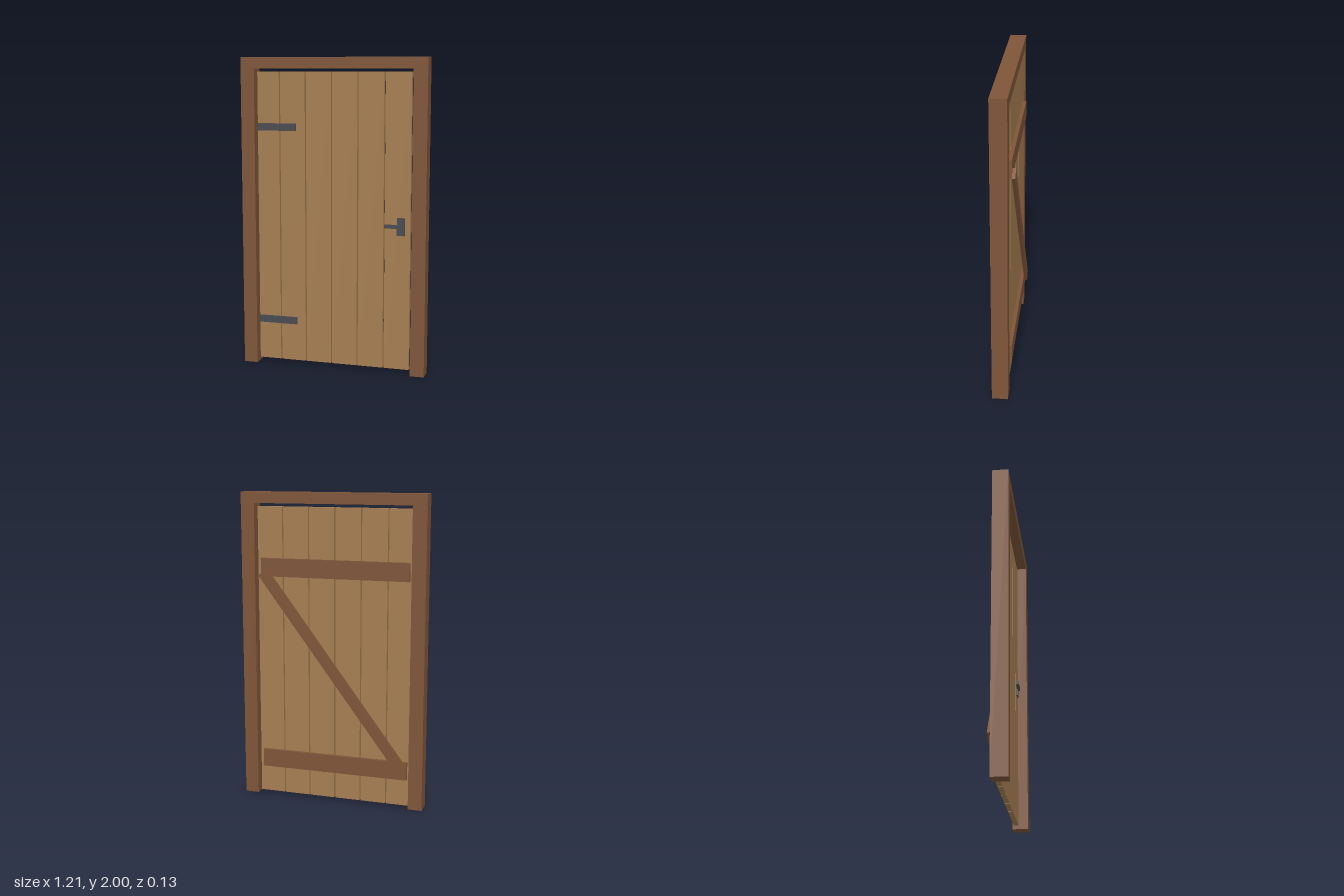
import * as THREE from 'three';

const frameWood = new THREE.MeshStandardMaterial({ name: 'frame wood', color: 0x7f5539 });
const plankWood = new THREE.MeshStandardMaterial({ name: 'plank wood', color: 0xa57e52 });
const iron = new THREE.MeshStandardMaterial({ name: 'dark iron', color: 0x484b50 });

// Box given by its min and max along each axis
function box(name, material, [x0, x1], [y0, y1], [z0, z1]) {
  const mesh = new THREE.Mesh(new THREE.BoxGeometry(x1 - x0, y1 - y0, z1 - z0), material);
  mesh.position.set((x0 + x1) / 2, (y0 + y1) / 2, (z0 + z1) / 2);
  mesh.name = name;
  return mesh;
}

export function createModel() {
  const model = new THREE.Group();
  model.name = 'plankDoor';

  // Door frame: two posts and a head in one piece
  const outline = new THREE.Shape([
    [-0.605, 0], [-0.515, 0], [-0.515, 1.93], [0.515, 1.93],
    [0.515, 0], [0.605, 0], [0.605, 2], [-0.605, 2],
  ].map(([x, y]) => new THREE.Vector2(x, y)));
  const frame = new THREE.Mesh(
    new THREE.ExtrudeGeometry(outline, { depth: 0.102, bevelEnabled: false }), frameWood);
  frame.position.z = -0.035;
  frame.name = 'frame';
  model.add(frame);

  const door = new THREE.Group();
  door.name = 'door';
  model.add(door);

  // Six upright planks with narrow gaps
  const front = 0.007, back = -0.023, pitch = 0.1728, plankWidth = 0.165;
  for (let i = 0; i < 6; i++) {
    const x = -0.534 + i * pitch;
    door.add(box('plank', plankWood, [x, x + plankWidth], [0.02, 1.91], [back, front]));
  }

  // Two ledges and a diagonal brace on the back
  for (const y of [0.197, 1.468]) {
    door.add(box('ledge', frameWood, [-0.505, 0.469], [y, y + 0.116], [-0.047, back]));
  }
  const brace = new THREE.Mesh(new THREE.BoxGeometry(1.535, 0.072, 0.02), frameWood);
  brace.position.set(-0.01, 0.883, -0.057);
  brace.rotation.z = THREE.MathUtils.degToRad(53);
  brace.name = 'brace';
  door.add(brace);

  // Strap hinges
  for (const y of [0.265, 1.535]) {
    door.add(box('hinge', iron, [-0.525, -0.255], [y, y + 0.047], [front, front + 0.009]));
  }

  // Latch plate and lever
  door.add(box('latchPlate', iron, [0.41, 0.46], [0.89, 1.003], [front, front + 0.009]));
  door.add(box('latchLever', iron, [0.33, 0.448], [0.936, 0.959], [front + 0.004, front + 0.02]));

  return model;
}
